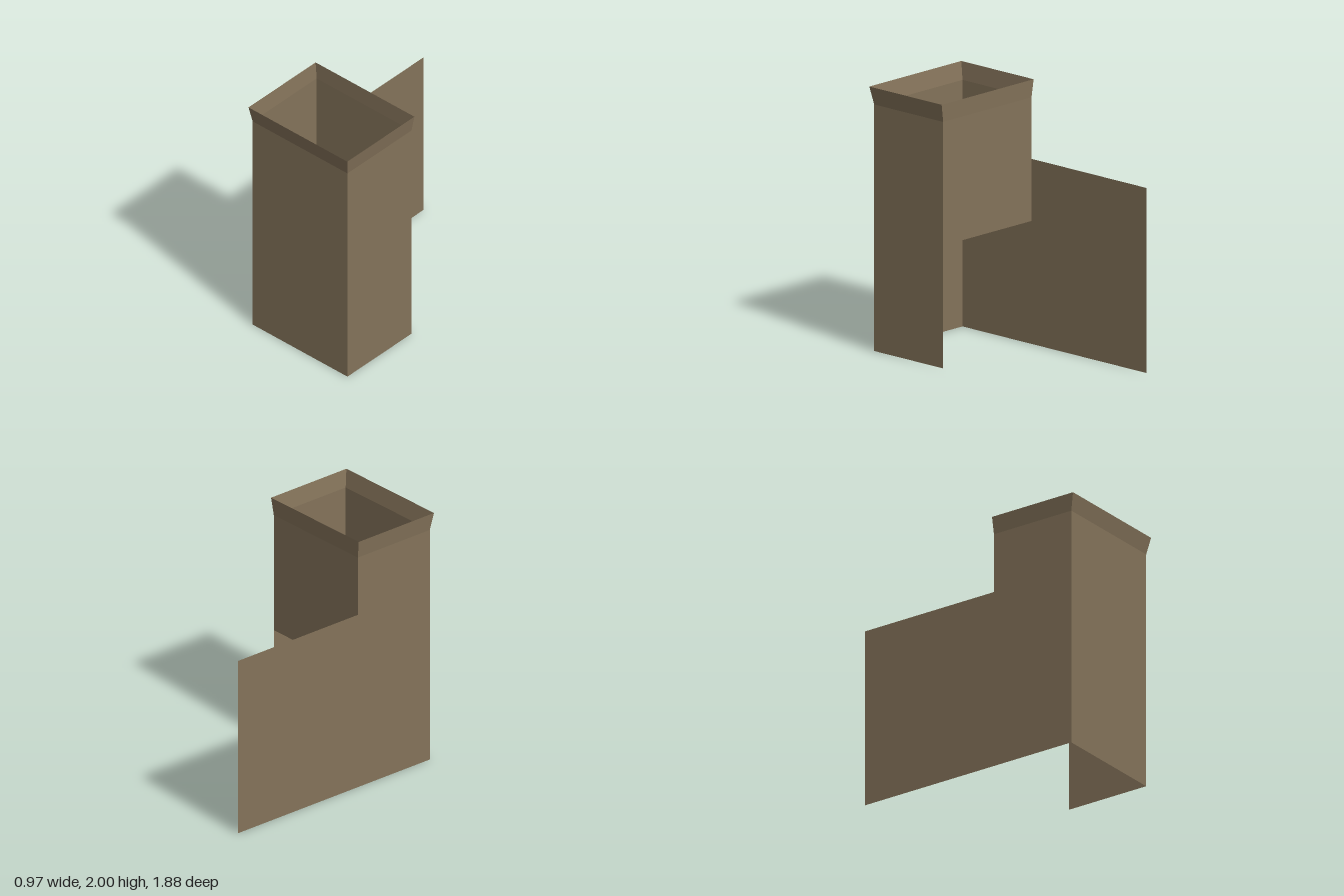
import * as THREE from 'three';

// Shaft and rim outlines
const X0 = -0.47, X1 = 0.463, ZF = 0.915, ZB = 0.219;
const NECK = 1.865, TOP = 2, WING_TOP = 1.4, BACK_BOTTOM = 0.93, WING_END = -0.942;
const RIM = { x0: -0.486, x1: 0.486, zf: 0.942, zb: 0.213 };

// Flat open sheet through a convex ring of corners
function sheet(name, corners, material) {
  const geometry = new THREE.BufferGeometry();
  geometry.setAttribute('position', new THREE.Float32BufferAttribute(corners.flat(), 3));
  const index = [];
  for (let i = 1; i < corners.length - 1; i++) index.push(0, i, i + 1);
  geometry.setIndex(index);
  geometry.computeVertexNormals();
  const mesh = new THREE.Mesh(geometry, material);
  mesh.name = name;
  return mesh;
}

export function createModel() {
  const group = new THREE.Group();
  group.name = 'shaft';
  const brown = new THREE.MeshStandardMaterial({ color: 0x84735a, side: THREE.DoubleSide });
  brown.name = 'brown';

  // Upright wall between two plan points, counter-clockwise seen from above
  const wall = (name, [ax, az], [bx, bz], y0, y1) =>
    group.add(sheet(name, [[ax, y0, az], [bx, y0, bz], [bx, y1, bz], [ax, y1, az]], brown));

  // Shaft walls; the back one stops above an opening
  const base = [[X0, ZF], [X1, ZF], [X1, ZB], [X0, ZB]];
  wall('frontWall', base[0], base[1], 0, NECK);
  wall('leftWall', base[1], base[2], 0, NECK);
  wall('backWall', base[2], base[3], BACK_BOTTOM, NECK);
  wall('rightWall', base[3], base[0], 0, NECK);

  // Low wall running back from the right side
  wall('wingWall', [X0, WING_END], base[3], 0, WING_TOP);

  // Flared rim
  const rim = [[RIM.x0, RIM.zf], [RIM.x1, RIM.zf], [RIM.x1, RIM.zb], [RIM.x0, RIM.zb]];
  ['front', 'left', 'back', 'right'].forEach((side, i) => {
    const j = (i + 1) % 4;
    group.add(sheet(side + 'Rim', [
      [base[i][0], NECK, base[i][1]], [base[j][0], NECK, base[j][1]],
      [rim[j][0], TOP, rim[j][1]], [rim[i][0], TOP, rim[i][1]],
    ], brown));
  });
  return group;
}
